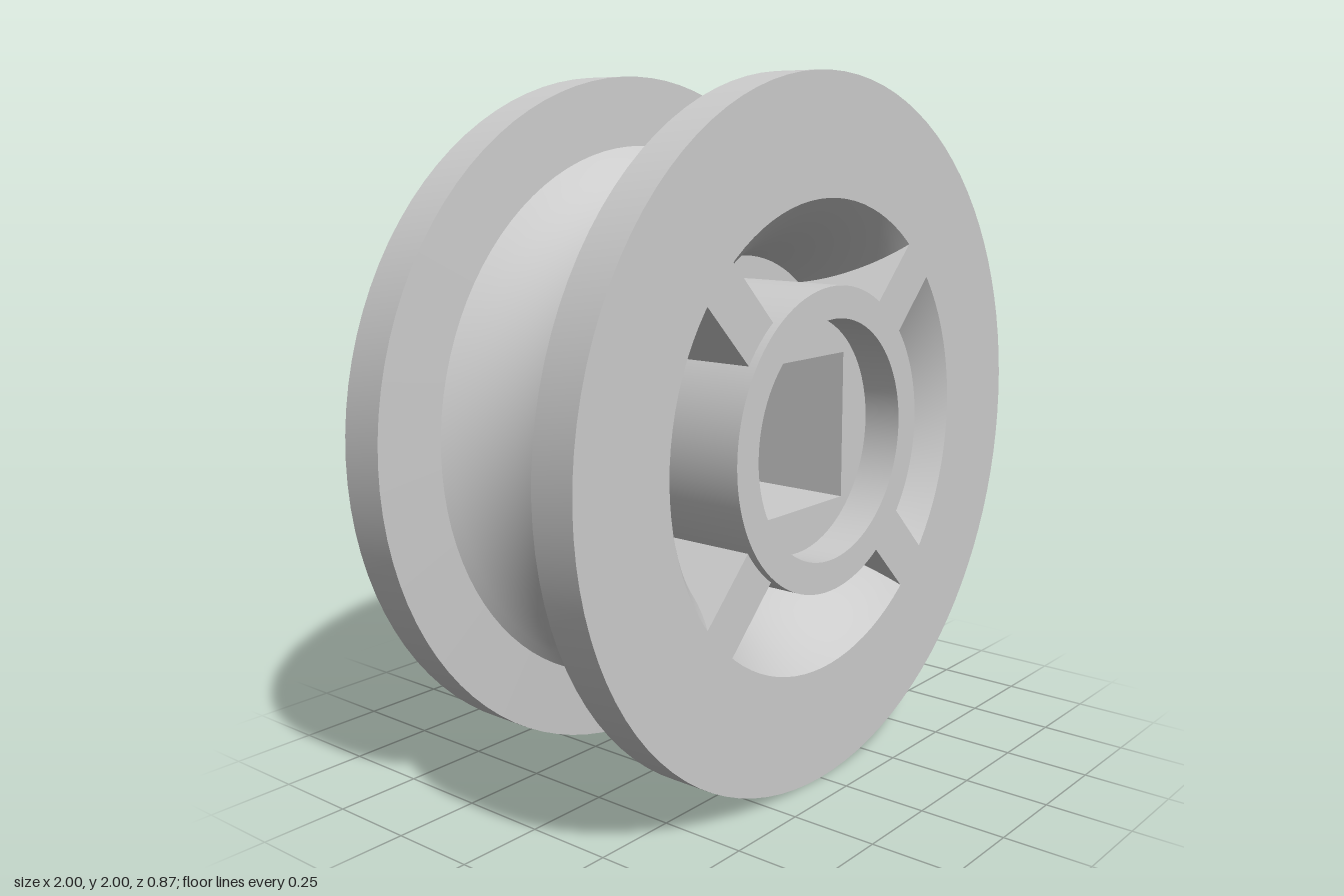
import * as THREE from 'three';
import { toCreasedNormals } from 'three/addons/utils/BufferGeometryUtils.js';

const material = new THREE.MeshStandardMaterial({ color: 0xcccccc });
const SEGMENTS = 96;

// Points on a circular arc about (cx, 0), from z0 to z1, bulging towards the axle
function arc(cx, radius, z0, z1, steps = 16) {
  return Array.from({ length: steps + 1 }, (_, i) => {
    const z = z0 + ((z1 - z0) * i) / steps;
    return [cx - Math.sqrt(radius * radius - z * z), z];
  });
}

// Revolve a [radius, z] profile about the z axis, keeping its corners sharp
function revolve(profile) {
  const points = profile.map(([r, z]) => new THREE.Vector2(r, z));
  const geometry = new THREE.LatheGeometry(points, SEGMENTS).rotateX(Math.PI / 2);
  return toCreasedNormals(geometry, 0.4);
}

export function createModel() {
  const model = new THREE.Group();
  model.name = 'pulleyWheel';
  const wheel = new THREE.Group();
  wheel.name = 'wheel';
  wheel.position.y = 1;
  model.add(wheel);

  function add(name, geometry, parent = wheel) {
    const mesh = new THREE.Mesh(geometry, material);
    mesh.name = name;
    parent.add(mesh);
    return mesh;
  }

  const face = 0.41, web = 0.1, hubRadius = 0.43;

  // Rim: two flanges, rope groove, curved pocket walls and central web
  add('groovedRim', revolve([
    [hubRadius, -web],
    ...arc(1.046, 0.56, -web, -face),
    [1, -face], [1, -0.278],
    ...arc(1.05, 0.366, -0.268, 0.268, 24),
    [1, 0.278], [1, face],
    ...arc(1.046, 0.56, face, web),
    [hubRadius, web],
  ]));

  // Hub sleeve, slightly proud of the flanges, with a recess at each end
  const boreRadius = 0.34, floor = 0.32, hubEnd = 0.435;
  add('hubSleeve', revolve([
    [boreRadius, -floor], [boreRadius, -hubEnd],
    [hubRadius, -hubEnd], [hubRadius, hubEnd],
    [boreRadius, hubEnd], [boreRadius, floor],
  ]));

  // Hub core with a square axle hole
  const core = new THREE.Shape().absarc(0, 0, boreRadius, 0, Math.PI * 2, false);
  const s = 0.215;
  core.holes.push(new THREE.Path([[-s, -s], [-s, s], [s, s], [s, -s], [-s, -s]]
    .map(([x, y]) => new THREE.Vector2(x, y))));
  add('hubCore', new THREE.ExtrudeGeometry(core, {
    depth: floor * 2, bevelEnabled: false, curveSegments: SEGMENTS,
  }).translate(0, 0, -floor));

  // Four diagonal spokes between hub and rim
  const inner = 0.42, outer = 0.6645;
  const spoke = new THREE.BoxGeometry(outer - inner, 0.145, face * 2)
    .translate((inner + outer) / 2, 0, 0);
  const spokes = new THREE.Group();
  spokes.name = 'spokes';
  wheel.add(spokes);
  for (let i = 0; i < 4; i++) {
    add('spoke', spoke, spokes).rotation.z = Math.PI / 4 + (i * Math.PI) / 2;
  }

  return model;
}
